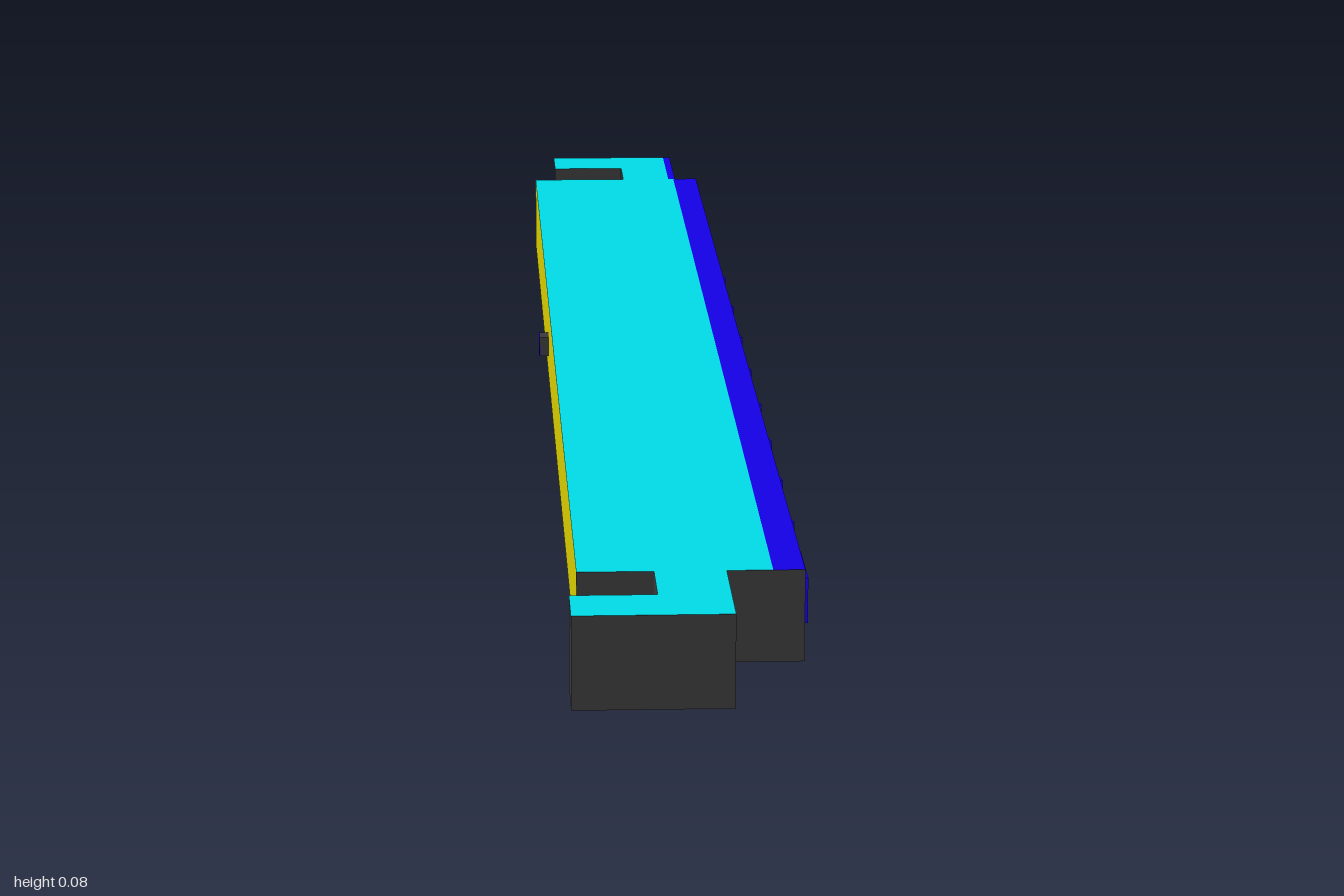
import * as THREE from 'three';

const mat = (name, color) => new THREE.MeshStandardMaterial({ name, color, side: THREE.DoubleSide });

export function createModel() {
  const cyan = mat('cyan', 0x00dfea), blue = mat('blue', 0x1600f0), yellow = mat('yellow', 0xdcd000);
  const orange = mat('orange', 0xac3a06), grey = mat('dark grey', 0x3a3a3a), brown = mat('brown', 0x4a3c30);
  const H = 0.08, EDGE = 0.097, model = new THREE.Group();
  model.name = 'hollowBar';

  const add = (name, geometry, material, x = 0, y = 0, z = 0) => {
    const m = new THREE.Mesh(geometry, material);
    m.name = name;
    m.position.set(x, y, z);
    model.add(m);
    return m;
  };
  const box = (name, material, x0, x1, y0, y1, z0, z1) =>
    add(name, new THREE.BoxGeometry(x1 - x0, y1 - y0, z1 - z0), material, (x0 + x1) / 2, (y0 + y1) / 2, (z0 + z1) / 2);
  // upright sheet between two plan points; its front lies to the right of the travel direction seen from above
  const wall = (name, material, [x0, z0], [x1, z1]) => {
    const g = new THREE.PlaneGeometry(Math.hypot(x1 - x0, z1 - z0), H);
    add(name, g, material, (x0 + x1) / 2, H / 2, (z0 + z1) / 2).rotation.y = Math.atan2(z0 - z1, x1 - x0);
  };
  const planShape = (pts) => new THREE.Shape(pts.map(([x, z]) => new THREE.Vector2(x, -z)));
  const sheet = (name, material, pts, y) =>
    add(name, new THREE.ShapeGeometry(planShape(pts)).rotateX(-Math.PI / 2), material, 0, y, 0);

  // Plan outline with a hook at each end; the right edge differs for roof and floor
  const outline = (edge, tail) => [
    [-0.103, 1], [0.031, 1], [0.031, 0.87], [edge, 0.87], [edge, -0.86], [tail, -0.86], [tail, -1],
    [-0.07, -1], [-0.07, -0.93], [0.01, -0.93], [0.01, -0.86], [-0.095, -0.86],
    [-0.095, 0.87], [-0.03, 0.87], [-0.03, 0.94], [-0.103, 0.94],
  ];
  sheet('roof', cyan, outline(0.07, 0.064), H);
  sheet('floor', brown, outline(EDGE, 0.072), 0);
  sheet('roofEdge', blue, [[0.07, 0.87], [EDGE, 0.87], [EDGE, -0.86], [0.07, -0.86]], H);
  sheet('rearRoofEdge', blue, [[0.064, -0.86], [0.072, -0.86], [0.072, -1], [0.064, -1]], H);

  // Front hook and front end
  const hook = [[-0.095, 0.87], [-0.03, 0.87], [-0.03, 0.94], [-0.103, 0.94], [-0.103, 1], [0.031, 1], [0.031, 0.87], [EDGE, 0.87]];
  for (let i = 0; i < hook.length - 1; i++) wall('frontHookWall', grey, hook[i], hook[i + 1]);

  // Rear end: only the inner hook walls are closed
  wall('rearEnd', grey, [0.01, -0.86], [-0.095, -0.86]);
  wall('rearStem', grey, [0.01, -0.93], [0.01, -0.86]);
  wall('rearHookInner', grey, [-0.07, -0.93], [0.01, -0.93]);
  wall('rearCorner', orange, [EDGE, -0.86], [0.07, -0.86]);

  // Left side with a door and a small knob
  const seams = [-0.86, 0.04, 0.1, 0.165, 0.87];
  for (let i = 0; i < 4; i++) wall('leftSide', yellow, [-0.095, seams[i]], [-0.095, seams[i + 1]]);
  box('sideKnob', grey, -0.104, -0.095, 0.025, 0.045, -0.19, -0.165);
  box('sideKnobFace', blue, -0.105, -0.104, 0.025, 0.045, -0.19, -0.165);

  // Right side: saw-tooth row of yellow fins and slanted blue panels
  for (let i = 0; i < 8; i++) {
    const front = 0.655 - i * 0.1464, back = front - 0.14;
    wall('baySideFin', yellow, [0.076, front + 0.017], [EDGE, front]);
    const panel = new THREE.ExtrudeGeometry(
      planShape([[0.1, front], [0.104, front], [0.077, back], [0.073, back]]), { depth: 0.055, bevelEnabled: false });
    add('slantedPanel', panel.rotateX(-Math.PI / 2), blue, 0, 0.008, 0);
  }
  wall('rowEndWall', yellow, [0.07, -0.51], [EDGE, -0.51]);

  // Right rear wall with an open window
  const points = (list) => list.map((p) => new THREE.Vector2(...p));
  const side = new THREE.Shape(points([[0.51, 0], [0.86, 0], [0.86, H], [0.51, H]]));
  side.holes.push(new THREE.Path(points([[0.62, 0.023], [0.62, 0.06], [0.74, 0.06], [0.74, 0.023]])));
  add('windowWall', new THREE.ShapeGeometry(side), orange, EDGE).rotation.y = Math.PI / 2;

  // Right front grille with a blue box
  const slats = [[0.86, 0.87], [0.832, 0.848], [0.808, 0.822], [0.785, 0.798], [0.762, 0.775], [0.736, 0.752], [0.718, 0.724], [0.673, 0.708]];
  for (const [z0, z1] of slats) box('grilleSlat', grey, 0.071, 0.0965, 0.001, 0.079, z0, z1);
  box('grilleBox', blue, 0.072, 0.103, 0.02, 0.06, 0.742, 0.825);

  return model;
}
